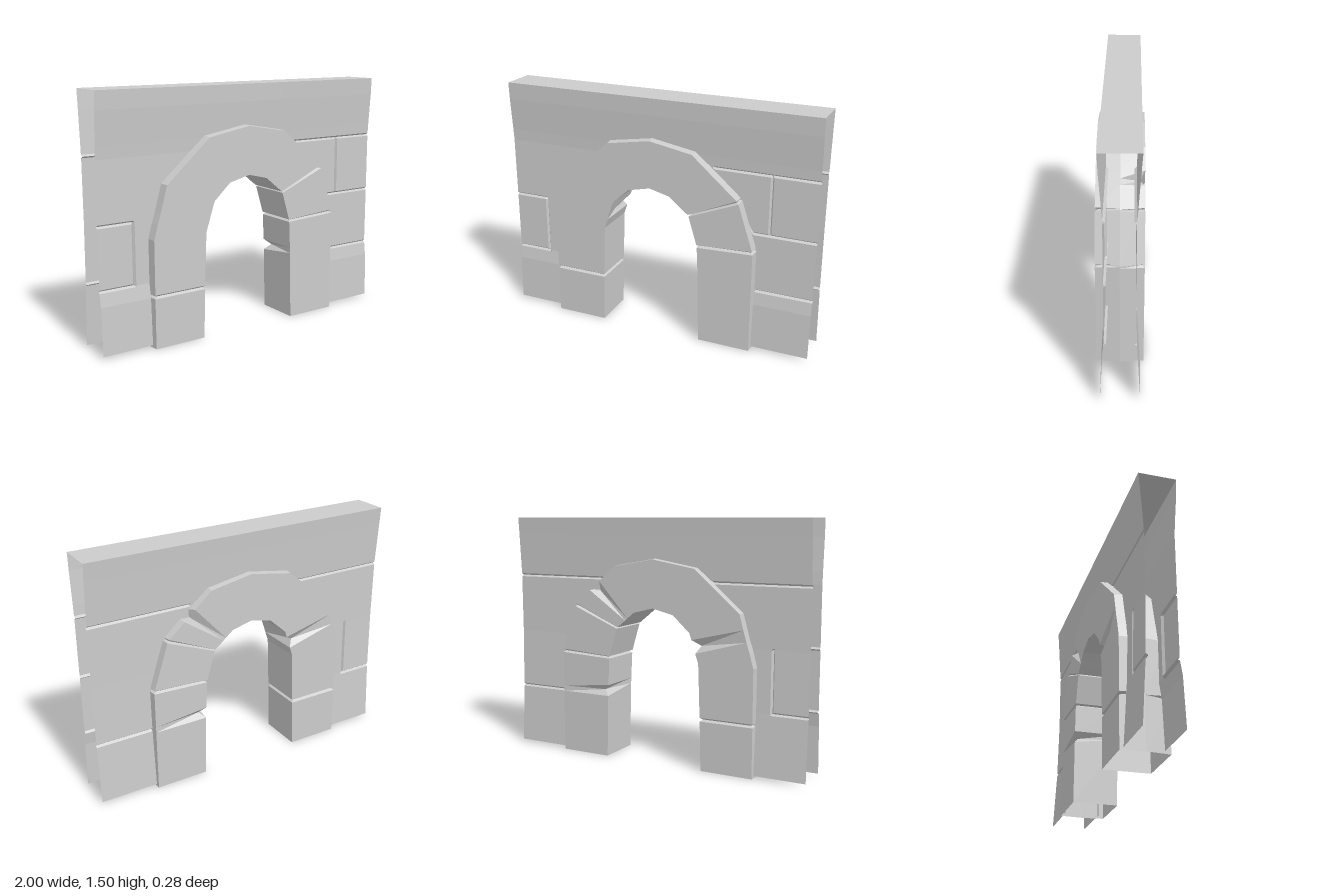
import * as THREE from 'three';

const material = new THREE.MeshStandardMaterial({
  color: 0xcccccc, flatShading: true, side: THREE.DoubleSide,
});

// Skin a list of equally long point rows; "closed" joins each row's last point to its first.
function skin(rows, closed, flip, name) {
  const n = rows[0].length, index = [];
  for (let r = 0; r < rows.length - 1; r++) {
    for (let c = 0; c < (closed ? n : n - 1); c++) {
      const a = r * n + c, b = r * n + (c + 1) % n, d = a + n, e = b + n;
      if (flip) index.push(a, b, d, b, e, d);
      else index.push(a, d, b, b, d, e);
    }
  }
  const geometry = new THREE.BufferGeometry();
  geometry.setAttribute('position', new THREE.Float32BufferAttribute(rows.flat(2), 3));
  geometry.setIndex(index);
  geometry.computeVertexNormals();
  const mesh = new THREE.Mesh(geometry, material);
  mesh.name = name;
  return mesh;
}

// Linear interpolation through [y, z] pairs
function profileAt(profile, y) {
  for (let i = 1; i < profile.length; i++) {
    const [y0, z0] = profile[i - 1], [y1, z1] = profile[i];
    if (y <= y1) return z0 + (z1 - z0) * (y - y0) / (y1 - y0);
  }
  return profile[profile.length - 1][1];
}

// ---- Wall: two slightly hollowed sheets, open at the ends and below ----
const BASE = 0.015, TOP = 1.505;
const levels = [BASE, 0.15, 0.3, 0.38, 0.39, 0.4, 0.75, 0.76, 0.77, 1.12, 1.13, 1.14, 1.2, 1.4, TOP];

// [x, lower edge]; the middle columns stop just inside the arch
const columns = {
  RightWing: [-1, -0.79, -0.78, -0.77, -0.66].map((x) => [x, BASE]),
  Middle: [[-0.66, 0.62], [-0.57, 0.93], [-0.4, 1.08], [-0.3, 1.17], [-0.02, 1.22], [0.25, 1.17],
    [0.36, 1.08], [0.37, 1.07], [0.52, 0.93], [0.62, 0.64]],
  LeftWing: [0.62, 0.71, 0.72, 0.73, 1].map((x) => [x, BASE]),
};

const sides = {
  front: {
    profile: [[BASE, 0.105], [0.3, 0.095], [0.39, 0.082], [1.13, 0.081], [1.2, 0.085], [1.4, 0.1], [TOP, 0.104]],
    // cracks between the wall blocks: x0, y0, x1, y1
    cracks: [[-1, 0.76, -0.78, 0.76], [-0.78, 0.39, -0.78, 0.76], [-1, 0.39, -0.78, 0.39],
      [0.37, 1.13, 1, 1.13], [0.72, 0.76, 0.72, 1.13], [0.62, 0.76, 1, 0.76], [0.62, 0.39, 1, 0.39]],
  },
  back: {
    profile: [[BASE, -0.118], [0.39, -0.097], [0.76, -0.09], [1.13, -0.092], [1.4, -0.11], [TOP, -0.118]],
    cracks: [[-1, 1.13, -0.4, 1.13], [-0.78, 0.39, -0.78, 0.76], [-1, 0.39, -0.78, 0.39],
      [0.37, 1.13, 1, 1.13], [0.62, 0.39, 1, 0.39]],
  },
};

function createWall() {
  const wall = new THREE.Group();
  wall.name = 'wall';
  for (const [side, { profile, cracks }] of Object.entries(sides)) {
    const sign = side === 'front' ? 1 : -1;
    const point = (x, y) => {
      const cracked = cracks.some(([x0, y0, x1, y1]) =>
        x >= x0 - 1e-4 && x <= x1 + 1e-4 && y >= y0 - 1e-4 && y <= y1 + 1e-4);
      return [x, y, profileAt(profile, y) - (cracked ? sign * 0.014 : 0)];
    };
    for (const [part, list] of Object.entries(columns)) {
      const rows = list.map(([x, low]) => levels.map((y) => point(x, Math.max(y, low))));
      wall.add(skin(rows, false, sign < 0, side + part));
    }
  }
  const edge = (x) => [[x, TOP, 0.104], [x, TOP, -0.118]];
  wall.add(skin([edge(-1), edge(1)], false, false, 'wallTop'));
  return wall;
}

// ---- Arch: cross-sections from the right foot over the crown to the left foot ----
// Each section: outer x, y, inner x, y, and optionally a joint or a chipped corner
const DEPTH = 0.14;
const sections = [
  { p: [-0.68, 0, -0.35, 0] },
  { p: [-0.68, 0.315, -0.342, 0.315], joint: true },
  { p: [-0.68, 0.65, -0.33, 0.65] },
  { p: [-0.655, 0.74, -0.31, 0.71] },
  { p: [-0.635, 0.8, -0.298, 0.75], chip: 3 },
  { p: [-0.615, 0.87, -0.284, 0.79] },
  { p: [-0.59, 0.96, -0.27, 0.83] },
  { p: [-0.3, 1.21, -0.16, 0.93] },
  { p: [-0.02, 1.258, -0.02, 0.963] },
  { p: [0.25, 1.21, 0.11, 0.93] },
  { p: [0.36, 1.115, 0.157, 0.892] },
  { p: [0.4, 1.08, 0.173, 0.878], chip: 2 },
  { p: [0.43, 1.055, 0.185, 0.868] },
  { p: [0.54, 0.96, 0.233, 0.83], joint: true },
  { p: [0.64, 0.657, 0.29, 0.64], joint: true },
  { p: [0.64, 0.46, 0.299, 0.46] },
  { p: [0.64, 0.425, 0.3, 0.425], chip: 3 },
  { p: [0.64, 0.39, 0.301, 0.39] },
  { p: [0.64, 0, 0.31, 0] },
];

// Five corners: outer front, outer ridge, outer back, inner back, inner front
function ring([ox, oy, ix, iy], inset = 0, chip = -1) {
  const length = Math.hypot(ox - ix, oy - iy);
  const ux = (ox - ix) / length, uy = (oy - iy) / length;
  const corner = (x, y, z, push) => [x + ux * push, y + uy * push, z];
  const z = DEPTH - inset;
  const corners = [
    corner(ox, oy, z, -inset), corner(ox, oy, 0, 0.013), corner(ox, oy, -z, -inset),
    corner(ix, iy, -z, inset), corner(ix, iy, z, inset),
  ];
  if (chip >= 0) {
    const [x, y, cz] = corners[chip];
    const push = chip === 2 ? -0.04 : 0.04;
    corners[chip] = [x + ux * push, y + uy * push, cz + 0.03];
  }
  return corners;
}

function createArch() {
  const rows = [];
  sections.forEach(({ p, joint, chip }, i) => {
    if (!joint) {
      rows.push(ring(p, 0, chip));
      return;
    }
    // A joint is a narrow V groove between two stones
    const toward = (q) => {
      const step = 0.011 / Math.hypot(q[0] - p[0], q[1] - p[1]);
      return p.map((v, k) => v + (q[k] - v) * step);
    };
    rows.push(ring(toward(sections[i - 1].p)), ring(p, 0.016), ring(toward(sections[i + 1].p)));
  });
  return skin(rows, true, false, 'stoneArch');
}

export function createModel() {
  const model = new THREE.Group();
  model.name = 'archedWall';
  model.add(createWall(), createArch());
  return model;
}
